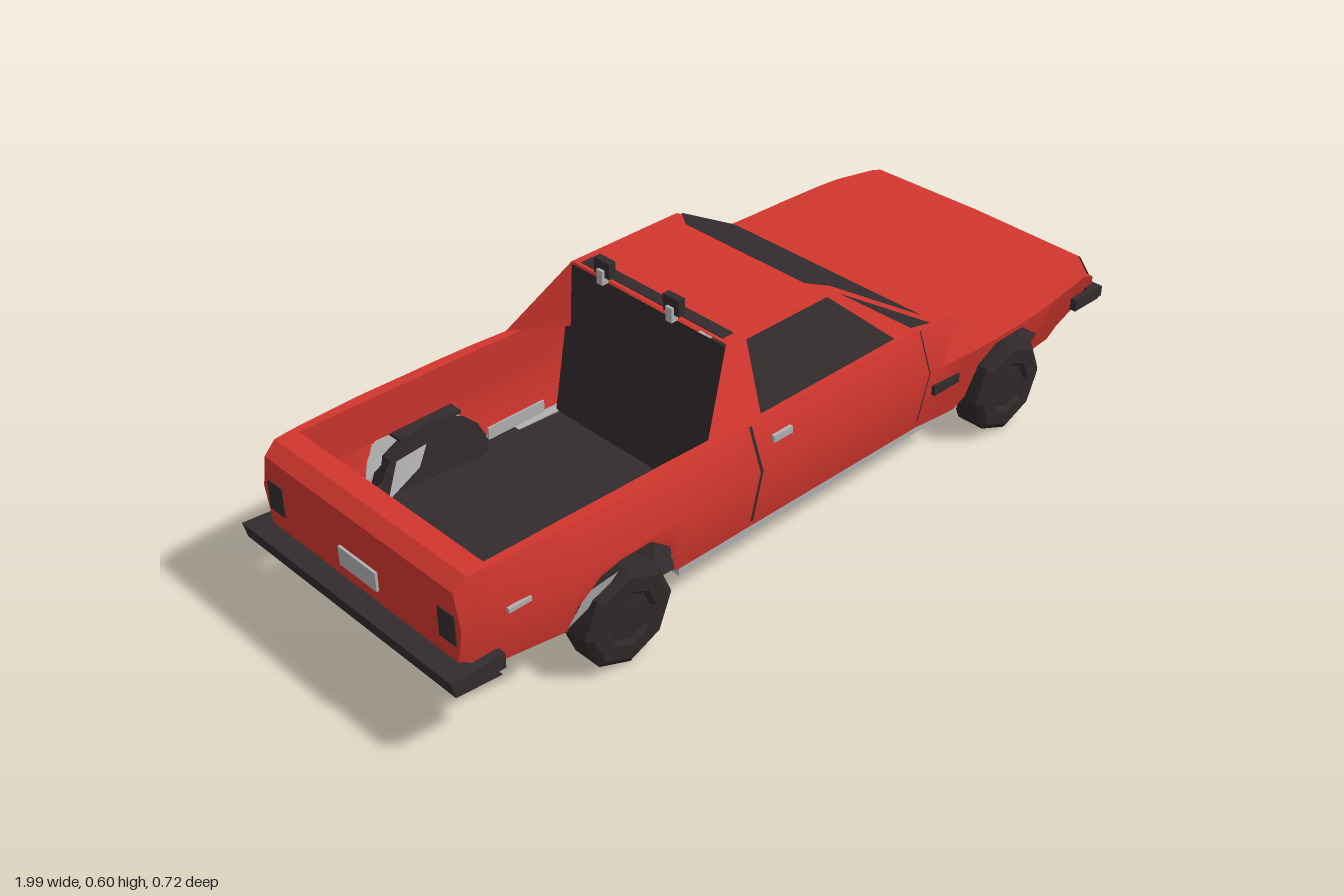
import * as THREE from 'three';
import { toCreasedNormals } from 'three/addons/utils/BufferGeometryUtils.js';

export function createModel() {
  const car = new THREE.Group();
  car.name = 'pickup';
  const mat = (name, color) => {
    const m = new THREE.MeshStandardMaterial({ color, side: THREE.DoubleSide });
    m.name = name;
    return m;
  };
  const red = mat('red paint', 0xd0362e);
  const dark = mat('dark trim', 0x332b2d);
  const tyre = mat('tyre rubber', 0x2f2829);
  const silver = mat('silver', 0xb0b0b0);

  const add = (name, geo, material, x = 0, y = 0, z = 0) => {
    const m = new THREE.Mesh(geo, material);
    m.name = name;
    m.position.set(x, y, z);
    car.add(m);
    return m;
  };
  const box = (name, material, w, h, d, x, y, z) => add(name, new THREE.BoxGeometry(w, h, d), material, x, y, z);
  // Surface made of four-cornered faces, smooth except at sharp edges
  const surface = (name, material, quads) => {
    const pos = [];
    for (const [a, b, c, d] of quads) pos.push(...a, ...b, ...c, ...a, ...c, ...d);
    const g = new THREE.BufferGeometry();
    g.setAttribute('position', new THREE.Float32BufferAttribute(pos, 3));
    g.computeVertexNormals();
    return add(name, toCreasedNormals(g, 0.6), material);
  };
  const facing = (quad, s) => (s > 0 ? quad : [...quad].reverse());

  // Body columns from tail to nose: x, bottom y, top y, belt half width, top half width
  const columns = [
    [-0.95, 0.165, 0.36, 0.318, 0.3], [-0.92, 0.16, 0.385, 0.326, 0.305], [-0.87, 0.155, 0.385, 0.336, 0.31],
    [-0.71, 0.145, 0.383, 0.354, 0.318], [-0.69, 0.2, 0.383, 0.355, 0.318], [-0.64, 0.255, 0.382, 0.356, 0.318],
    [-0.59, 0.27, 0.381, 0.356, 0.318], [-0.51, 0.27, 0.38, 0.355, 0.318], [-0.45, 0.22, 0.379, 0.354, 0.317],
    [-0.42, 0.13, 0.379, 0.353, 0.316], [-0.32, 0.125, 0.376, 0.35, 0.312], [-0.2, 0.122, 0.376, 0.348, 0.312],
    [0.33, 0.118, 0.376, 0.348, 0.312], [0.37, 0.117, 0.376, 0.352, 0.312], [0.45, 0.115, 0.37, 0.358, 0.316],
    [0.48, 0.14, 0.369, 0.36, 0.317], [0.5, 0.225, 0.368, 0.36, 0.317], [0.55, 0.265, 0.367, 0.36, 0.317],
    [0.68, 0.265, 0.363, 0.358, 0.316], [0.73, 0.2, 0.36, 0.353, 0.315], [0.76, 0.1, 0.357, 0.351, 0.314],
    [0.88, 0.09, 0.338, 0.336, 0.312], [0.905, 0.119, 0.33, 0.331, 0.31], [0.95, 0.17, 0.264, 0.325, 0.31],
    [0.97, 0.233, 0.236, 0.315, 0.31],
  ].map(([x, yb, yt, zBelt, zTop]) => {
    const belt = Math.min(0.28, yt - 0.001);
    const zLow = zBelt - (belt - yb) * (x > 0.74 ? 0.38 : 0.2);
    return { x, yt, low: [x, yb, zLow], belt: [x, belt, zBelt], top: [x, yt, zTop] };
  });
  const side = (p, s) => [p[0], p[1], p[2] * s];
  const rimZ = 0.292, rimY = 0.27;
  const sides = [], deck = [], bed = [];
  for (let i = 0; i < columns.length - 1; i++) {
    const a = columns[i], b = columns[i + 1];
    for (const s of [1, -1]) {
      const q = (...p) => facing(p.map((v) => side(v, s)), s);
      sides.push(q(a.low, b.low, b.belt, a.belt), q(a.belt, b.belt, b.top, a.top));
      if (b.x <= -0.87 || a.x >= 0.37) {
        const crown = (x) => (x > 0.4 ? 0.005 : 0);
        deck.push(q(a.top, b.top, [b.x, b.yt + crown(b.x), 0], [a.x, a.yt + crown(a.x), 0]));
      } else if (b.x <= -0.2) {
        const ra = [a.x, a.yt, rimZ], rb = [b.x, b.yt, rimZ];
        bed.push(q(a.top, b.top, rb, ra), q(ra, rb, [b.x, rimY, 0.3], [a.x, rimY, 0.3]));
      }
    }
    if (a.x >= 0.76) deck.push([side(a.low, -1), side(b.low, -1), b.low, a.low]);
  }
  surface('bodySides', red, sides);
  surface('hoodAndNose', red, deck);
  surface('bedWalls', red, bed);
  const t = columns[0];
  surface('tailgate', red, [
    [side(t.low, -1), t.low, t.belt, side(t.belt, -1)],
    [side(t.belt, -1), t.belt, t.top, side(t.top, -1)],
    [[-0.87, 0.385, -rimZ], [-0.87, 0.16, -0.3], [-0.87, 0.16, 0.3], [-0.87, 0.385, rimZ]],
  ]);

  // Floor pan, doubling as the bed floor, and the plates under the hood
  const pan = [[-0.94, 0.163, 0.29], [-0.71, 0.148, 0.315], [-0.42, 0.128, 0.315], [0, 0.108, 0.3], [0.48, 0.1, 0.3]];
  surface('floorPan', dark, pan.slice(1).map(([x, y, z], i) => {
    const [px, py, pz] = pan[i];
    return [[px, py, pz], [x, y, z], [x, y, -z], [px, py, -pz]];
  }));
  box('engineTray', dark, 0.4, 0.01, 0.5, 0.67, 0.2, 0);
  box('bulkhead', dark, 0.01, 0.12, 0.56, 0.48, 0.16, 0);
  box('frontApron', dark, 0.1, 0.008, 0.5, 0.82, 0.094, 0);
  box('exhaust', silver, 0.08, 0.012, 0.04, 0.02, 0.102, 0);

  // Cabin: leaning sides with rear sail panels, roof and windscreen frame
  const cabZ = (y) => 0.312 - (y - 0.376) * 0.5;
  const wall = (x, y, s, out = 0) => [x, y, s * (cabZ(y) + out)];
  const cabin = [];
  for (const s of [1, -1]) {
    cabin.push(facing([wall(-0.32, 0.376, s), wall(0.37, 0.376, s), wall(0.12, 0.53, s), wall(-0.19, 0.53, s)], s));
    const peak = wall(-0.19, 0.53, s);
    cabin.push([peak, wall(-0.32, 0.376, s), [-0.205, 0.376, s * 0.23], peak]);
    surface('sideWindow', dark, [facing(
      [wall(-0.165, 0.387, s, 0.004), wall(0.245, 0.387, s, 0.004), wall(0.1, 0.523, s, 0.004), wall(-0.14, 0.523, s, 0.004)], s)]);
    surface('pillarTrim', dark, [facing(
      [wall(0.3, 0.39, s, 0.004), wall(0.36, 0.38, s, 0.004), wall(0.135, 0.518, s, 0.004), wall(0.2, 0.468, s, 0.004)], s)]);
  }
  cabin.push([wall(-0.19, 0.53, 1), wall(0.12, 0.53, 1), wall(0.12, 0.53, -1), wall(-0.19, 0.53, -1)]);
  cabin.push([wall(0.12, 0.53, 1), wall(0.37, 0.376, 1), wall(0.37, 0.376, -1), wall(0.12, 0.53, -1)]);
  surface('cabin', red, cabin);
  const glass = (y, z) => [0.12 + (0.53 - y) * 1.623 + 0.003, y + 0.004, z];
  surface('windscreen', dark, [
    [glass(0.528, 0.226), glass(0.384, 0.29), glass(0.384, -0.29), glass(0.528, -0.226)],
    [[0.096, 0.532, 0.18], glass(0.528, 0.226), glass(0.528, -0.226), [0.096, 0.532, -0.18]],
  ]);
  surface('rearWindow', dark, [
    [[-0.192, 0.525, -0.232], [-0.2, 0.12, -0.3], [-0.2, 0.12, 0.3], [-0.192, 0.525, 0.232]],
  ]);
  box('roofStrip', dark, 0.03, 0.004, 0.43, -0.165, 0.53, 0);

  // Eight-sided wheels
  const profile = [[0, -0.045], [0.1, -0.045], [0.115, -0.035], [0.115, 0.035], [0.1, 0.045], [0.065, 0.045], [0.055, 0.036], [0, 0.04]];
  const wheel = toCreasedNormals(
    new THREE.LatheGeometry(profile.map(([r, h]) => new THREE.Vector2(r, h)), 8).rotateX(Math.PI / 2), 0.4);
  const wellDisc = new THREE.CircleGeometry(0.15, 10, 0, Math.PI);
  for (const x of [-0.57, 0.615]) {
    const axle = add('axle', new THREE.CylinderGeometry(0.018, 0.018, 0.56, 6), tyre, x, 0.115, 0);
    axle.rotation.x = Math.PI / 2;
  }

  // Door surface, following the crease along the flank
  const doorZ = (y) => (y < 0.28 ? 0.351 - (0.28 - y) * 0.2 : 0.351 - (y - 0.28) * 0.375);
  for (const s of [1, -1]) {
    for (const x of [-0.57, 0.615]) {
      const w = add('wheel', wheel, tyre, x, 0.115, s * 0.314);
      if (s < 0) w.rotation.y = Math.PI;
      add('wellPanel', wellDisc, dark, x, 0.13, s * 0.266);
      box('wellRoof', dark, 0.16, 0.008, 0.085, x, 0.268, s * 0.308);
    }
    for (const z of [0.345, 0.258]) {
      surface('archLiner', silver, [
        [[-0.71, 0.155, s * (z - 0.015)], [-0.62, 0.195, s * (z - 0.01)], [-0.59, 0.237, s * z], [-0.67, 0.23, s * z]],
      ]);
    }
    box('sill', silver, 0.88, 0.022, 0.02, 0.04, 0.112, s * 0.303);
    box('bedSill', silver, 0.16, 0.03, 0.005, -0.32, 0.152, s * 0.295);
    for (const [x, half] of [[-0.2, 0.004], [0.325, 0.002]]) {
      const p = (dx, y) => [x + dx, y, s * doorZ(y)];
      surface('doorGap', dark, [
        [p(-half, 0.14), p(half, 0.14), p(half, 0.28), p(-half, 0.28)],
        [p(-half, 0.28), p(half, 0.28), p(half, 0.374), p(-half, 0.374)],
      ]);
    }
    box('doorHandle', silver, 0.055, 0.016, 0.009, -0.125, 0.33, s * 0.334);
    box('fenderBadge', dark, 0.085, 0.024, 0.009, 0.39, 0.222, s * 0.345);
    box('rearMarker', silver, 0.055, 0.01, 0.008, -0.83, 0.29, s * 0.339);
    box('tailLight', dark, 0.003, 0.07, 0.05, -0.951, 0.27, s * 0.275);
    // Lamps behind the roof
    box('roofLamp', dark, 0.018, 0.038, 0.047, -0.21, 0.577, s * 0.105);
    box('lampStem', silver, 0.018, 0.034, 0.018, -0.217, 0.558, s * 0.105);
    // Bumper ends wrapping round the corners
    box('frontBumperEnd', dark, 0.09, 0.03, 0.016, 0.925, 0.213, s * 0.328);
    box('rearBumperEnd', dark, 0.09, 0.035, 0.022, -0.915, 0.178, s * 0.328);
  }

  // Nose details laid on the sloping front faces
  const noseX = (y) => y > 0.234
    ? 0.97 - (y - 0.236) * 0.69
    : y > 0.17 ? 0.95 + (y - 0.17) * 0.317 : 0.88 + (y - 0.09) * 0.875;
  const nosePlate = (name, material, z0, z1, y0, y1) => {
    const p = (y, z) => [noseX(y) + 0.006, y, z];
    surface(name, material, [[p(y0, z1), p(y0, z0), p(y1, z0), p(y1, z1)]]);
  };
  for (const s of [1, -1]) {
    nosePlate('headlight', dark, s * 0.225, s * 0.308, 0.242, 0.322);
    box('headlightLedge', silver, 0.03, 0.003, 0.085, 0.967, 0.239, s * 0.267);
    for (const y of [0.255, 0.279]) nosePlate('grilleSlot', dark, s * 0.004, s * 0.19, y, y + 0.017);
  }
  nosePlate('lowerGrille', dark, -0.29, 0.29, 0.172, 0.2);
  nosePlate('airSlot', dark, -0.2, 0.26, 0.108, 0.128);

  // Bumpers and plate
  box('frontBumper', dark, 0.035, 0.026, 0.67, 0.966, 0.213, 0);
  box('bumperInsert', red, 0.008, 0.01, 0.18, 0.982, 0.214, 0);
  const rear = [[-1, 0.2], [-0.94, 0.195], [-0.88, 0.15], [-0.99, 0.16]];
  const bumperShape = new THREE.Shape(rear.map(([x, y]) => new THREE.Vector2(x, y)));
  const bumper = new THREE.ExtrudeGeometry(bumperShape, { depth: 0.68, bevelEnabled: false });
  add('rearBumper', bumper, dark, 0, 0, -0.34);
  box('rearPlate', silver, 0.008, 0.045, 0.12, -0.952, 0.25, 0);
  return car;
}
